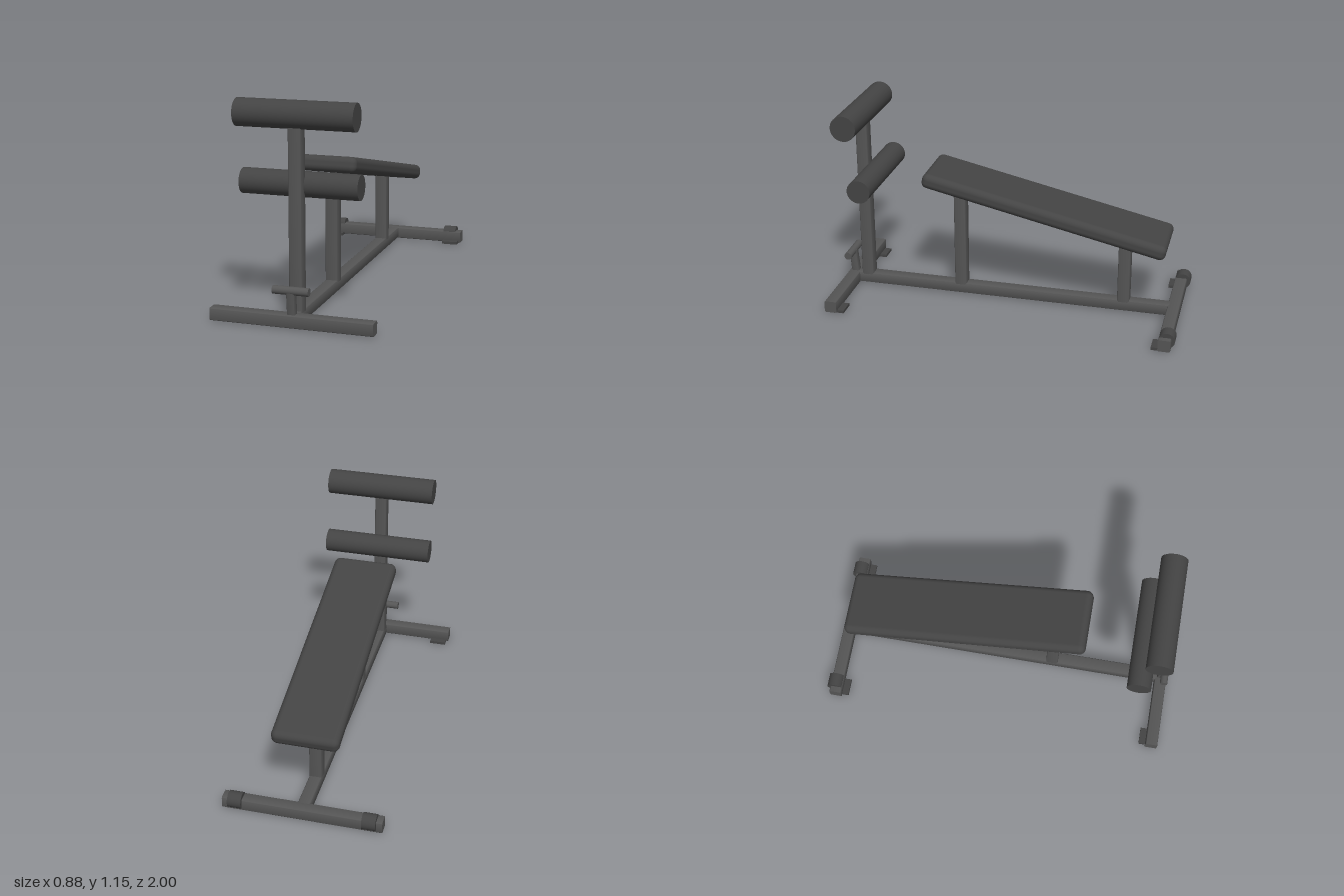
import * as THREE from 'three';
import { RoundedBoxGeometry } from 'three/addons/geometries/RoundedBoxGeometry.js';
import { toCreasedNormals } from 'three/addons/utils/BufferGeometryUtils.js';

const frameMaterial = new THREE.MeshStandardMaterial({ color: 0x555555 });
const padMaterial = new THREE.MeshStandardMaterial({ color: 0x444444 });

export function createModel() {
  const model = new THREE.Group();

  function add(name, geometry, material, x, y, z) {
    const mesh = new THREE.Mesh(geometry, material);
    mesh.name = name;
    mesh.position.set(x, y, z);
    model.add(mesh);
    return mesh;
  }

  // Square steel bar with rounded long edges, centred, running along z
  function barGeometry(w, h, length, r = 0.01) {
    const a = w / 2, b = h / 2;
    const s = new THREE.Shape();
    s.moveTo(-a + r, -b);
    s.lineTo(a - r, -b);
    s.quadraticCurveTo(a, -b, a, -b + r);
    s.lineTo(a, b - r);
    s.quadraticCurveTo(a, b, a - r, b);
    s.lineTo(-a + r, b);
    s.quadraticCurveTo(-a, b, -a, b - r);
    s.lineTo(-a, -b + r);
    s.quadraticCurveTo(-a, -b, -a + r, -b);
    const g = new THREE.ExtrudeGeometry(s, { depth: length, bevelEnabled: false, curveSegments: 4 });
    g.translate(0, 0, -length / 2);
    return toCreasedNormals(g, 0.6);
  }

  // Cylinder lying along x
  const rollerGeometry = (r, length) =>
    new THREE.CylinderGeometry(r, r, length, 48).rotateZ(Math.PI / 2);

  // Base: long beam and two cross bars
  add('mainBeam', barGeometry(0.07, 0.064, 1.86), frameMaterial, 0, 0.04, 0.01);
  add('frontCrossBar', barGeometry(0.07, 0.068, 0.88).rotateY(Math.PI / 2), frameMaterial, 0, 0.038, 0.965);
  add('rearCrossBar', barGeometry(0.07, 0.068, 0.88).rotateY(Math.PI / 2), frameMaterial, 0, 0.038, -0.945);

  // Upright posts: [name, z, top height]
  for (const [name, z, top] of [
    ['rollerPost', 0.88, 1.02],
    ['frontPadPost', 0.305, 0.665],
    ['rearPadPost', -0.655, 0.475],
  ]) {
    const height = top - 0.06;
    add(name, barGeometry(0.07, 0.07, height).rotateX(Math.PI / 2), frameMaterial, 0, 0.06 + height / 2, z);
  }

  // Foam leg rollers
  add('upperRoller', rollerGeometry(0.073, 0.636), padMaterial, 0, 1.081, 0.88);
  add('lowerRoller', rollerGeometry(0.067, 0.636), padMaterial, 0, 0.714, 0.808);

  // Sloping bench pad
  const pad = add('benchPad', new RoundedBoxGeometry(0.368, 0.086, 1.42, 6, 0.034), padMaterial, 0, 0.604, -0.207);
  pad.rotation.x = -0.221;

  // T-shaped lifting handle on the front cross bar
  const stem = add('handleStem', barGeometry(0.044, 0.044, 0.16).rotateX(Math.PI / 2), frameMaterial, 0, 0.122, 0.969);
  stem.rotation.x = 0.09;
  add('handleGrip', rollerGeometry(0.022, 0.194), frameMaterial, 0, 0.197, 0.977);

  // Transport wheels and flat feet, mirrored left and right
  for (const side of [-1, 1]) {
    add('wheel', rollerGeometry(0.045, 0.076), padMaterial, side * 0.368, 0.053, -0.955);
    for (const z of [0.93, -0.91]) {
      add('foot', new THREE.BoxGeometry(0.096, 0.016, 0.076), padMaterial, side * 0.379, 0.008, z);
    }
  }
  return model;
}
